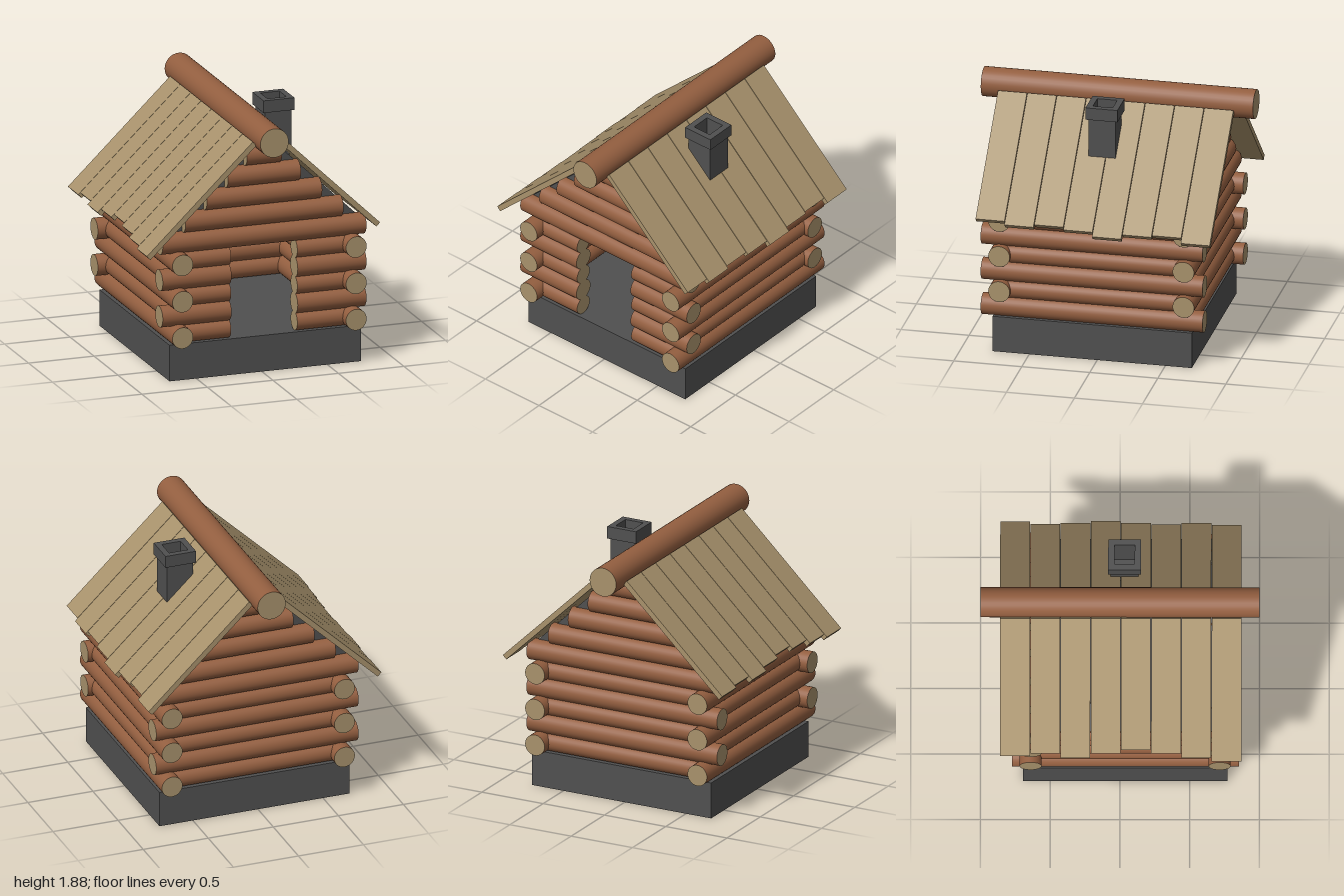
import * as THREE from 'three';

const bark = new THREE.MeshStandardMaterial({ color: 0x945f40 });
const cutWood = new THREE.MeshStandardMaterial({ color: 0xa8926c });
const stone = new THREE.MeshStandardMaterial({ color: 0x505050 });

// Log lying along 'x' or 'z' between two ends; a and b are its centre on the other two axes
function makeLog(name, axis, from, to, side, y, radius) {
  const geo = new THREE.CylinderGeometry(radius, radius, to - from, 32);
  if (axis === 'x') geo.rotateZ(Math.PI / 2);
  else geo.rotateX(Math.PI / 2);
  const log = new THREE.Mesh(geo, [bark, cutWood, cutWood]);
  const mid = (from + to) / 2;
  log.position.set(axis === 'x' ? mid : side, y, axis === 'x' ? side : mid);
  log.name = name;
  return log;
}

function rectangle(shape, x0, x1, y0, y1) {
  shape.moveTo(x0, y0);
  shape.lineTo(x1, y0);
  shape.lineTo(x1, y1);
  shape.lineTo(x0, y1);
  shape.closePath();
  return shape;
}

// Square tube standing upright, centred on its own x and z
function squareTube(name, width, depth, holeW, holeD, y0, y1) {
  const shape = rectangle(new THREE.Shape(), -width / 2, width / 2, -depth / 2, depth / 2);
  shape.holes.push(rectangle(new THREE.Path(), -holeW / 2, holeW / 2, -holeD / 2, holeD / 2));
  const geo = new THREE.ExtrudeGeometry(shape, { depth: y1 - y0, bevelEnabled: false });
  geo.rotateX(-Math.PI / 2);
  const mesh = new THREE.Mesh(geo, stone);
  mesh.position.y = y0;
  mesh.name = name;
  return mesh;
}

function box(name, w, h, d, x, y, z, material) {
  const mesh = new THREE.Mesh(new THREE.BoxGeometry(w, h, d), material);
  mesh.position.set(x, y, z);
  mesh.name = name;
  return mesh;
}

export function createModel() {
  const cabin = new THREE.Group();
  cabin.name = 'logCabin';

  // Foundation
  cabin.add(box('foundation', 1.462, 0.27, 1.465, 0.026, 0.135, 0.0375, stone));

  // Walls: six courses, long logs alternate with short ones that butt into the corners
  const walls = new THREE.Group();
  walls.name = 'walls';
  const leftX = 0.69, rightX = -0.635, frontZ = 0.715, backZ = -0.64;
  const doorFrom = -0.24, doorTo = 0.265;
  for (let i = 0; i < 6; i++) {
    const y = 0.34 + i * 0.136;
    const longX = i % 2 === 1;
    const rX = longX ? 0.079 : 0.071;
    const rZ = longX ? 0.071 : 0.079;
    const [x0, x1] = longX ? [-0.765, 0.79] : [rightX, leftX];
    const [z0, z1] = longX ? [backZ, frontZ] : [-0.775, 0.855];
    walls.add(makeLog('leftWallLog', 'z', z0, z1, leftX, y, rZ));
    walls.add(makeLog('rightWallLog', 'z', z0, z1, rightX, y, rZ));
    walls.add(makeLog('backWallLog', 'x', x0, x1, backZ, y, rX));
    if (i < 5) {
      // the doorway splits the front courses
      walls.add(makeLog('frontWallLog', 'x', x0, doorFrom, frontZ, y, rX));
      walls.add(makeLog('frontWallLog', 'x', doorTo, x1, frontZ, y, rX));
    } else {
      walls.add(makeLog('doorLintelLog', 'x', x0, x1, frontZ, y, rX));
    }
  }
  cabin.add(walls);

  // Gables: shrinking logs at both ends over a solid loft
  const ridgeX = 0.0125;
  const gables = new THREE.Group();
  gables.name = 'gables';
  [0.603, 0.44, 0.278, 0.133].forEach((half, i) => {
    for (const z of [frontZ, backZ]) {
      gables.add(makeLog('gableLog', 'x', ridgeX - half, ridgeX + half, z, 1.168 + i * 0.151, 0.078));
    }
  });
  const loftShape = new THREE.Shape([
    new THREE.Vector2(-0.735, 1.085),
    new THREE.Vector2(0.735, 1.085),
    new THREE.Vector2(0, 1.79),
  ]);
  const loft = new THREE.Mesh(
    new THREE.ExtrudeGeometry(loftShape, { depth: frontZ - backZ, bevelEnabled: false }), stone);
  loft.position.set(ridgeX, 0, backZ);
  loft.name = 'loft';
  gables.add(loft);
  cabin.add(gables);

  // Roof planks of uneven length, listed from back to front
  const roof = new THREE.Group();
  roof.name = 'roof';
  const eaves = {
    1: [0.905, 0.875, 0.885, 0.91, 0.885, 0.87, 0.885, 0.865],
    [-1]: [0.885, 0.87, 0.895, 0.87, 0.85, 0.87, 0.895, 0.915],
  };
  const pitch = Math.atan(0.957), thick = 0.04, topD = 0.118, topY = 1.76, step = 0.2167;
  for (const side of [1, -1]) {
    eaves[side].forEach((edge, i) => {
      const length = (edge - side * ridgeX - topD) / Math.cos(pitch);
      const d = topD + (length / 2) * Math.cos(pitch) - (thick / 2) * Math.sin(pitch);
      const y = topY - (length / 2) * Math.sin(pitch) - (thick / 2) * Math.cos(pitch);
      const plank = box('roofPlank', length, thick, step - 0.004,
        ridgeX + side * d, y, -0.861 + step * (i + 0.5), cutWood);
      plank.rotation.z = -side * pitch;
      roof.add(plank);
    });
  }
  roof.add(makeLog('ridgeLog', 'z', -1, 1, ridgeX, 1.775, 0.108));
  cabin.add(roof);

  // Chimney: solid foot, hollow stack and wider cap
  const chimney = new THREE.Group();
  chimney.name = 'chimney';
  chimney.position.set(0.357, 0, 0.033);
  chimney.add(box('chimneyFoot', 0.2, 0.13, 0.2, 0, 1.465, 0, stone));
  chimney.add(squareTube('chimneyStack', 0.2, 0.2, 0.145, 0.145, 1.53, 1.74));
  chimney.add(squareTube('chimneyCap', 0.235, 0.235, 0.145, 0.145, 1.735, 1.826));
  cabin.add(chimney);

  return cabin;
}
